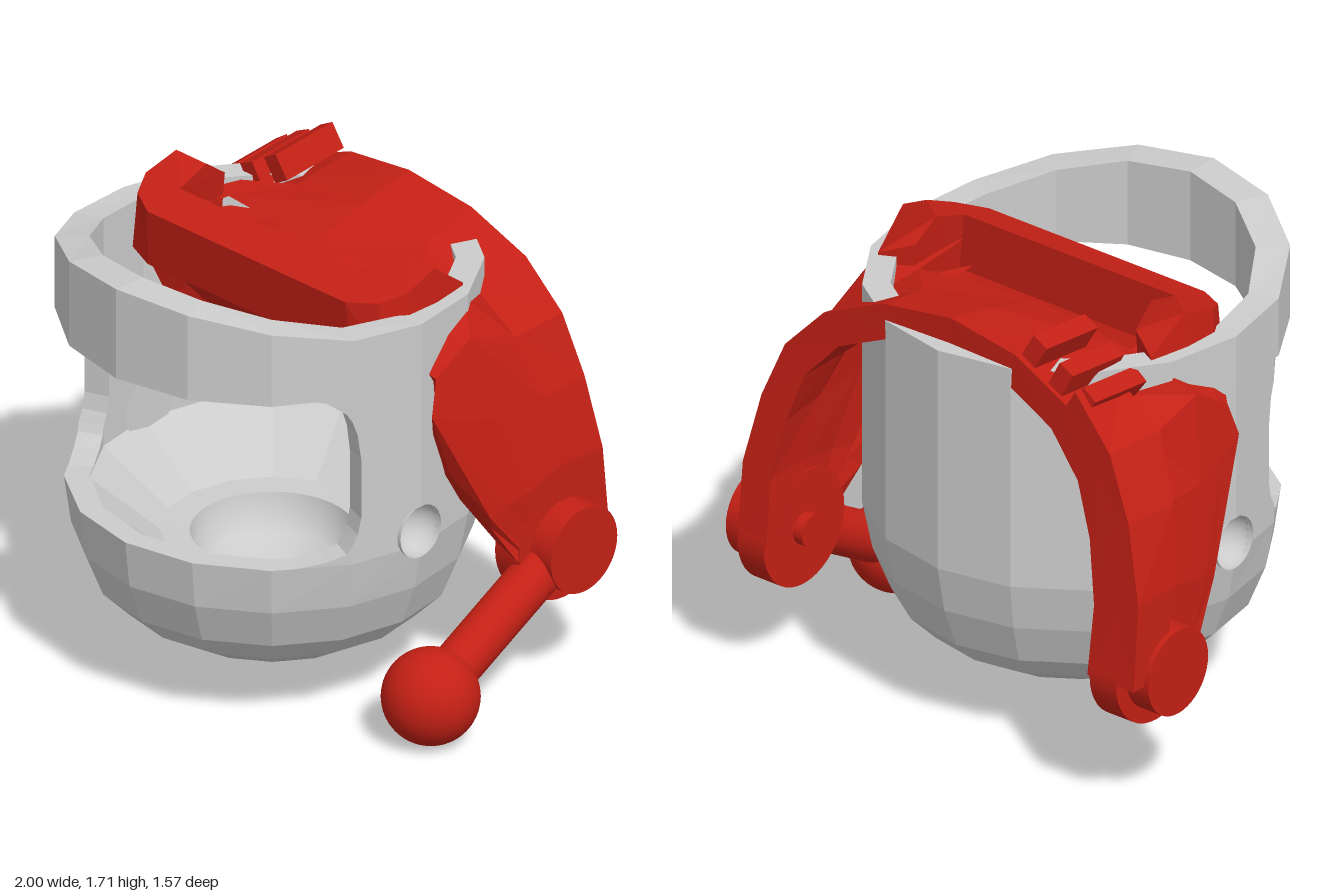
import * as THREE from 'three';
import { mergeGeometries } from 'three/addons/utils/BufferGeometryUtils.js';

const CX = -0.04, CZ = 0.02, STEP = Math.PI / 8, INNER = 0.64;
const grey = new THREE.MeshStandardMaterial({ color: 0xcccccc, flatShading: true, side: THREE.DoubleSide });
const greySmooth = new THREE.MeshStandardMaterial({ color: 0xcccccc, side: THREE.DoubleSide });
const red = new THREE.MeshStandardMaterial({ color: 0xc42015, flatShading: true, side: THREE.DoubleSide });
const redSmooth = new THREE.MeshStandardMaterial({ color: 0xc42015 });

function add(parent, name, geometry, material, x = 0, y = 0, z = 0) {
  const mesh = new THREE.Mesh(geometry, material);
  mesh.name = name;
  mesh.position.set(x, y, z);
  parent.add(mesh);
  return mesh;
}

// One flat wall panel of the 16-sided shell; points are (fraction across, height).
// The bulge moves the front of the ring out or in; the foot tapers to the bowl.
function panel(i, points, bulge) {
  const shape = new THREE.Shape(points.map(([t, y]) => new THREE.Vector2(i < 0 ? 1 - t : t, y)));
  const g = new THREE.ExtrudeGeometry(shape, { depth: 1, bevelEnabled: false });
  const p = g.attributes.position;
  const corner = (k, d, y) => {
    const a = k * STEP;
    const full = 0.74 + bulge * Math.max(0, Math.cos(a));
    const outer = THREE.MathUtils.lerp(0.704, full, Math.min(1, (y - 0.52) / 0.18));
    const r = INNER + d * (outer - INNER);
    return new THREE.Vector3(CX + r * Math.sin(a), y, CZ + r * Math.cos(a));
  };
  for (let n = 0; n < p.count; n++) {
    const y = p.getY(n), d = p.getZ(n);
    const v = corner(i, d, y).lerp(corner(i + 1, d, y), p.getX(n));
    p.setXYZ(n, v.x, v.y, v.z);
  }
  return g;
}

// Half circle of the ear dimple, split at the foot line.
function dimpleArc(from, to) {
  const arc = [];
  for (let deg = from; deg <= to; deg += 15) {
    const a = THREE.MathUtils.degToRad(deg);
    arc.push([0.346 * Math.cos(a), 0.75 + 0.1 * Math.sin(a)]);
  }
  return arc;
}

// Wall outlines by distance from the front, with the face opening and ear dimples cut out.
function wallOutlines(k) {
  const low = dimpleArc(-90, -30), high = dimpleArc(-30, 90);
  const flip = arc => arc.map(([t, y]) => [1 - t, y]);
  const foot = [[0, 0.52], [1, 0.52], [1, 0.7], [0, 0.7]];
  if (k < 2) return [foot];
  if (k === 2) return [foot,
    [[0.3, 0.7], [1, 0.7], [1, 0.77], [0.93, 0.74], [0.68, 0.715]],
    [[0.3, 1.36], [0.68, 1.34], [0.93, 1.29], [1, 1.26], [1, 1.36]]];
  if (k === 3) return [
    [[0, 0.52], [1, 0.52], ...flip(low), [0, 0.7]],
    [[0, 0.7], ...flip(high), [1, 1.36], [0, 1.36],
      [0, 1.26], [0.08, 1.2], [0.13, 1.1], [0.13, 0.87], [0.08, 0.81], [0, 0.77]]];
  if (k === 4) return [
    [[0, 0.52], [1, 0.52], [1, 0.7], ...low.reverse()],
    [[1, 0.7], [1, 1.36], [0, 1.36], ...high.reverse()]];
  return [foot, [[0, 0.7], [1, 0.7], [1, 1.36], [0, 1.36]]];
}

function lathe(points, sides) {
  return new THREE.LatheGeometry(points.map(([r, y]) => new THREE.Vector2(r, y)), sides);
}

// Closed shell between matching outer and inner rows; skip(row, column) leaves a hole.
function shellLoft(outer, inner, skip = () => false) {
  const pos = [];
  const quad = (a, b, c, d) => pos.push(...a, ...b, ...c, ...a, ...c, ...d);
  const last = outer.length - 1, cols = outer[0].length - 1;
  for (let c = 0; c < cols; c++) {
    for (let r = 0; r < last; r++) {
      if (skip(r, c)) continue;
      quad(outer[r][c], outer[r][c + 1], outer[r + 1][c + 1], outer[r + 1][c]);
      quad(inner[r][c], inner[r + 1][c], inner[r + 1][c + 1], inner[r][c + 1]);
    }
    for (const r of [0, last]) {
      const q = [outer[r][c], inner[r][c], inner[r][c + 1], outer[r][c + 1]];
      quad(...(r ? q.reverse() : q));
    }
  }
  for (const c of [0, cols]) for (let r = 0; r < last; r++) {
    const q = [outer[r][c], outer[r + 1][c], inner[r + 1][c], inner[r][c]];
    quad(...(c ? q.reverse() : q));
  }
  const g = new THREE.BufferGeometry();
  g.setAttribute('position', new THREE.Float32BufferAttribute(pos, 3));
  g.computeVertexNormals();
  return g;
}

// Move a point towards the middle of the arch.
function inset([x, y, z], d, dz = 0) {
  const up = Math.max(0, y - 0.6), l = Math.hypot(x, up);
  return [x - (d * x) / l, y - (d * up) / l, z + dz];
}

// Half sections of the raised visor from back edge to front edge, each from pivot to middle.
const SECTIONS = [
  [[.86, .55, -.78], [.86, .85, -.75], [.8, 1.12, -.72], [.71, 1.34, -.7], [.55, 1.51, -.68], [.3, 1.62, -.66], [0, 1.66, -.65]],
  [[.86, .55, -.62], [.86, .85, -.55], [.82, 1.12, -.5], [.73, 1.34, -.45], [.56, 1.46, -.44], [.32, 1.57, -.42], [0, 1.61, -.42]],
  [[.86, .55, -.48], [.86, .8, -.38], [.81, 1.12, -.26], [.75, 1.43, -.21], [.65, 1.53, -.28], [.48, 1.53, -.24], [0, 1.54, -.18]],
  [[.86, .55, -.42], [.85, .78, -.28], [.79, 1.15, -.12], [.75, 1.36, -.09], [.64, 1.49, -.04], [.48, 1.55, 0], [0, 1.55, 0]],
  [[.86, .55, -.38], [.84, .75, -.22], [.77, 1.2, 0], [.75, 1.33, -.04], [.64, 1.44, .05], [.5, 1.52, .12], [0, 1.54, .14]],
  [[.86, .55, -.33], [.82, .7, -.24], [.75, .93, -.11], [.68, 1.0, -.1], [.5, 1.12, -.16], [.3, 1.21, -.13], [0, 1.27, -.1]]];
const DEPTH = [0.13, 0.12, 0.1, 0.1, 0.1, 0.1];
const DZ = [0, 0, 0, 0, -0.1, -0.03];

function mirrorRow(row) {
  return [...row, ...row.slice(0, -1).reverse().map(([x, y, z]) => [-x, y, z])];
}

function buildShell() {
  const shell = new THREE.Group();
  shell.name = 'helmetShell';
  const rimTop = [1.71, 1.69, 1.64, 1.585, 1.565, 1.56, 1.56, 1.56, 1.56];
  const walls = [], rim = [];
  for (let i = -8; i < 8; i++) {
    const k = i < 0 ? -1 - i : i;
    for (const outline of wallOutlines(k)) walls.push(panel(i, outline, -0.015));
    rim.push(panel(i, [[0, 1.36], [1, 1.36], [1, rimTop[k + 1]], [0, rimTop[k]]], 0.03));
  }
  add(shell, 'wall', mergeGeometries(walls), grey);
  add(shell, 'rim', mergeGeometries(rim), grey);
  add(shell, 'bowl', lathe([[.54, .26], [.64, .36], [.704, .52]], 16), grey, CX, 0, CZ);
  add(shell, 'bowlBottom', lathe([[0, .115], [.22, .128], [.39, .17], [.54, .26]], 16), greySmooth, CX, 0, CZ);
  add(shell, 'innerFunnel', lathe([[.65, .7], [.39, .49]], 16), grey, CX, 0, CZ);
  add(shell, 'neckRing', lathe([[.395, .495], [.29, .49]], 40), greySmooth, CX, 0, CZ);
  add(shell, 'neckDish', lathe([[.29, .49], [.275, .42], [.23, .36], [.13, .31], [0, .29]], 40), greySmooth, CX, 0, CZ);
  for (const s of [1, -1]) {
    const dimple = new THREE.SphereGeometry(0.1, 24, 10, 0, Math.PI * 2, 0, Math.PI / 2);
    add(shell, 'earDimple', dimple.rotateZ(s * Math.PI / 2), greySmooth, CX + s * 0.735, 0.75, CZ);
    const lining = new THREE.CircleGeometry(0.115, 24).rotateY(-s * Math.PI / 2);
    add(shell, 'dimpleLining', lining, greySmooth, CX + s * 0.614, 0.75, CZ);
  }
  return shell;
}

function buildVisor() {
  const visor = new THREE.Group();
  visor.name = 'visor';
  visor.position.x = CX;
  const outer = SECTIONS.map(mirrorRow);
  const inner = SECTIONS.map((row, r) => mirrorRow(row.map(p => inset(p, DEPTH[r], DZ[r]))));
  add(visor, 'visorShell', shellLoft(outer, inner, (r, c) => r === 2 && (c === 5 || c === 6)), red);

  // Raised lip around the eye slot, its top sloping up to the rear ends.
  const half = [[.48, 0], [.49, -.14], [.5, -.24], [.62, -.3], [.64, -.14], [.65, 0], [.6, .09], [.49, .13]];
  const outline = [...half, ...half.slice().reverse().map(([x, z]) => [-x, z])];
  const lip = new THREE.ExtrudeGeometry(new THREE.Shape(outline.map(([x, z]) => new THREE.Vector2(x, -z))),
    { depth: 1, bevelEnabled: false }).rotateX(-Math.PI / 2);
  const p = lip.attributes.position;
  for (let i = 0; i < p.count; i++) {
    const z = p.getZ(i), t = p.getY(i);
    const top = z > -0.141 ? 1.6 + 0.31 * (0.15 - z) : 1.69 + (z + 0.14) * 0.75;
    p.setXYZ(i, p.getX(i) * (1.04 - 0.04 * t), top - 0.22 * (1 - t), z + 0.02 * t * (z > 0.1 ? 1 : 0));
  }
  add(visor, 'slotLip', lip, red);

  // Reinforcing strip along the right arm, ending in crest ridges.
  const strip = d => SECTIONS.slice(0, 2).map(row => row.slice(0, 5).map(q => {
    const [x, y, z] = inset(q, d);
    return [-x, y, z];
  }));
  add(visor, 'armStrip', shellLoft(strip(-0.08), strip(0.02)), red);
  [[-.6, 1.51, .6], [-.5, 1.57, .45], [-.38, 1.64, .5]].forEach(([x, y, tilt]) => {
    add(visor, 'crestRidge', new THREE.BoxGeometry(0.07, 0.1, 0.28), red, x, y, -0.51).rotation.set(0.1, 0, tilt);
  });

  // Pivot plates, caps and pins on both arms.
  for (const s of [1, -1]) {
    const disc = (name, r, w, x) => add(visor, name,
      new THREE.CylinderGeometry(r, r, w, 40).rotateZ(Math.PI / 2), redSmooth, s * x, 0.55, -0.56);
    disc('armEnd', 0.22, 0.12, 0.8);
    disc('pivotCap', 0.163, 0.12, 0.9);
    disc('pivotPin', 0.06, 0.06, 0.73);
  }
  return visor;
}

function buildLever() {
  const lever = new THREE.Group();
  lever.name = 'lever';
  const a = new THREE.Vector3(0.825, 0.55, -0.55), b = new THREE.Vector3(0.825, 0.18, 0.1);
  const dir = b.clone().sub(a);
  const rod = add(lever, 'leverRod', new THREE.CylinderGeometry(0.088, 0.088, dir.length(), 32), redSmooth);
  rod.position.copy(a).lerp(b, 0.5);
  rod.quaternion.setFromUnitVectors(new THREE.Vector3(0, 1, 0), dir.normalize());
  add(lever, 'leverBall', new THREE.SphereGeometry(0.175, 40, 24), redSmooth, b.x, b.y, b.z);
  return lever;
}

export function createModel() {
  const model = new THREE.Group();
  model.name = 'helmetWithVisor';
  model.add(buildShell(), buildVisor(), buildLever());
  return model;
}
